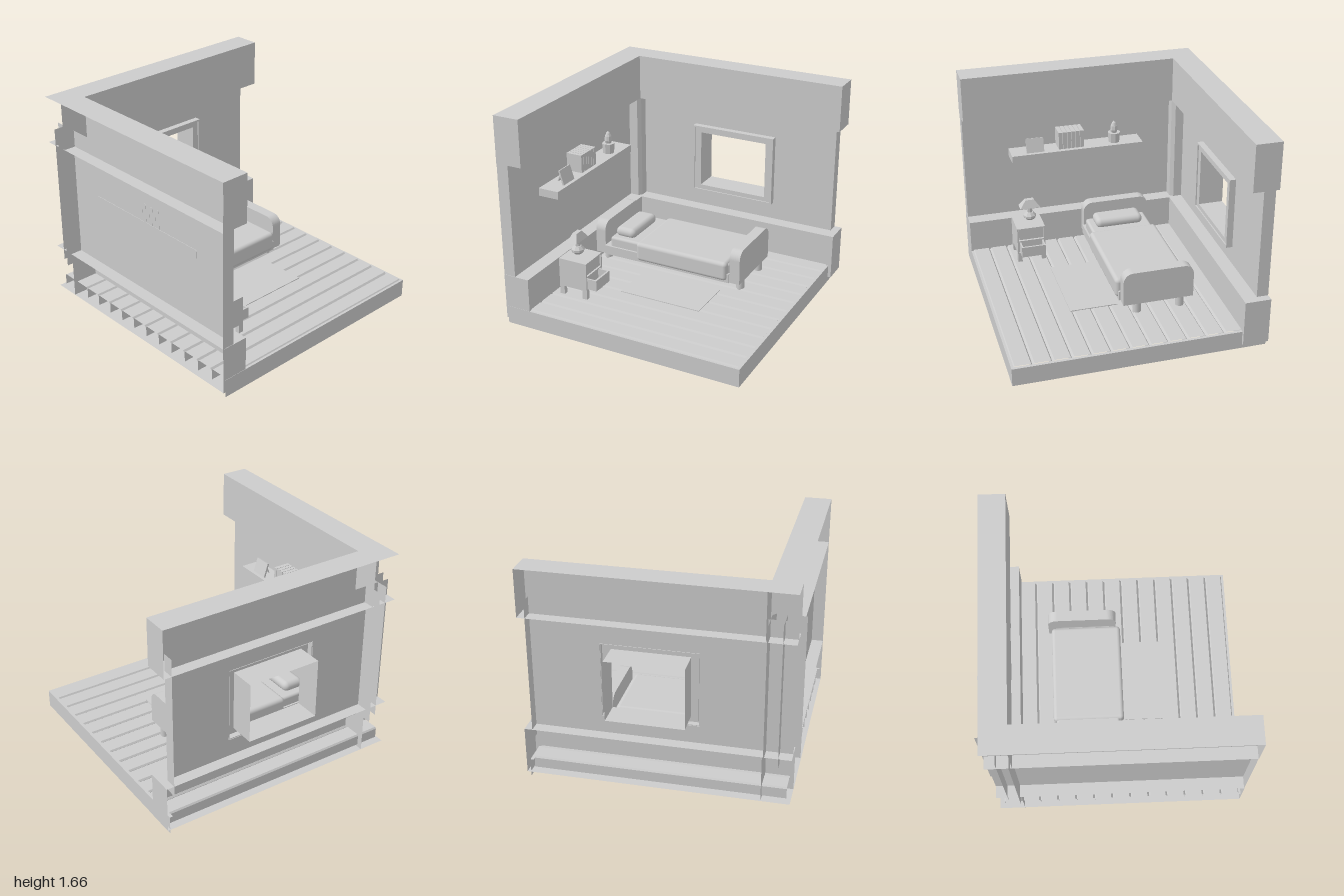
import * as THREE from 'three';
import { RoundedBoxGeometry } from 'three/addons/geometries/RoundedBoxGeometry.js';

const solid = new THREE.MeshStandardMaterial({ color: 0xcccccc });
const faceted = new THREE.MeshStandardMaterial({ color: 0xcccccc, flatShading: true });
const sheet = new THREE.MeshStandardMaterial({ color: 0xcccccc, side: THREE.DoubleSide, flatShading: true });

// Box sides in geometry order, used to keep only some faces
const SIDES = ['+x', '-x', '+y', '-y', '+z', '-z'];

function add(parent, name, geometry, material = solid) {
  const mesh = new THREE.Mesh(geometry, material);
  mesh.name = name;
  parent.add(mesh);
  return mesh;
}

// Box given by its ranges; with "keep", an open shell of the listed sides
function box(parent, name, [x0, x1], [y0, y1], [z0, z1], keep) {
  const g = new THREE.BoxGeometry(x1 - x0, y1 - y0, z1 - z0);
  g.translate((x0 + x1) / 2, (y0 + y1) / 2, (z0 + z1) / 2);
  if (keep) {
    const all = Array.from(g.index.array);
    g.setIndex(all.filter((_, i) => keep.includes(SIDES[Math.floor(i / 6)])));
    g.clearGroups();
  }
  return add(parent, name, g, keep ? sheet : solid);
}

function roundedBox(parent, name, [x0, x1], [y0, y1], [z0, z1], r) {
  const g = new RoundedBoxGeometry(x1 - x0, y1 - y0, z1 - z0, 4, r);
  g.translate((x0 + x1) / 2, (y0 + y1) / 2, (z0 + z1) / 2);
  return add(parent, name, g);
}

function rect(Type, x0, x1, y0, y1) {
  return new Type([[x0, y0], [x1, y0], [x1, y1], [x0, y1]].map(p => new THREE.Vector2(...p)));
}

// Open profile of [a, b] points swept straight between two positions
function sweep(profile, place, from, to) {
  const v = [];
  for (let i = 0; i + 1 < profile.length; i++) {
    const [p, q] = [profile[i], profile[i + 1]];
    v.push(...place(p, from), ...place(q, to), ...place(q, from),
      ...place(p, from), ...place(p, to), ...place(q, to));
  }
  const g = new THREE.BufferGeometry();
  g.setAttribute('position', new THREE.Float32BufferAttribute(v, 3));
  g.computeVertexNormals();
  return g;
}

function buildWalls(root) {
  const g = new THREE.Group();
  g.name = 'walls';
  root.add(g);
  // Thick bands above and below, open towards the outside
  for (const [name, y] of [['upperBand', [1.3, 1.665]], ['lowerBand', [0.04, 0.405]]]) {
    box(g, name + 'Left', [-0.96, -0.75], y, [-0.93, 0.998], ['+x', '+y', '-y', '+z']);
    box(g, name + 'Back', [-0.96, 1], y, [-0.93, -0.73], ['+x', '+y', '-y', '+z']);
  }
  // Recessed wall panels
  const mid = [0.32, 1.43];
  box(g, 'leftPanel', [-0.96, -0.865], mid, [-0.93, 0.995], ['+x', '+z']);
  box(g, 'backPanelEnd', [-0.96, 0.94], mid, [-0.93, -0.84], ['+x']);
  const panel = rect(THREE.Shape, -0.96, 0.94, ...mid);
  panel.holes.push(rect(THREE.Path, -0.28, 0.425, 0.55, 1.115));
  add(g, 'backPanel', new THREE.ShapeGeometry(panel), sheet).position.z = -0.84;
  // Bevelled corner post
  const post = [[-1, -0.742], [-0.79, -0.742], [-0.765, -0.77], [-0.765, -0.98]];
  add(g, 'cornerPost', sweep(post, ([x, z], y) => [x, y, z], ...mid), sheet);
}

function buildWindow(root) {
  const g = new THREE.Group();
  g.name = 'window';
  root.add(g);
  const ring = (name, x, y, hx, hy, z, r) => {
    const s = rect(THREE.Shape, ...x, ...y);
    s.holes.push(rect(THREE.Path, ...hx, ...hy));
    add(g, name, new THREE.ShapeGeometry(s), sheet).position.z = z;
    box(g, name + 'Edge', x, y, [r, z], ['+x', '-x', '+y', '-y']);
  };
  ring('windowFrame', [-0.285, 0.43], [0.545, 1.12], [-0.27, 0.415], [0.56, 1.105], -0.79, -0.845);
  ring('innerFrame', [-0.27, 0.415], [0.56, 1.105], [-0.215, 0.363], [0.597, 1.065], -0.8, -0.8 + 0.01);
  // Deep reveal reaching outside
  box(g, 'windowReveal', [-0.215, 0.363], [0.597, 1.065], [-1, -0.8], ['+x', '-x', '+y', '-y']);
}

function buildFloor(root) {
  const g = new THREE.Group();
  g.name = 'floor';
  root.add(g);
  box(g, 'floorSkirt', [-0.945, 0.975], [0, 0.142], [-0.92, 1], ['+x', '+z']);
  box(g, 'floorRimRight', [0.95, 0.975], [0.1, 0.142], [-0.92, 1], ['+y']);
  box(g, 'floorRimFront', [-0.945, 0.975], [0.1, 0.142], [0.975, 1], ['+y']);
  // Open planks with bevelled edges
  const pitch = 0.1443, bevel = 0.016;
  for (let i = 0; i < 13; i++) {
    const z1 = 0.99 - i * pitch, z0 = Math.max(z1 - pitch, -0.9);
    const profile = [[z0, 0.06], [z0, 0.138], [z0 + bevel * 0.6, 0.15],
      [z1 - bevel, 0.15], [z1, 0.132], [z1, 0.06]];
    add(g, 'plank', sweep(profile, ([z, y], x) => [x, y, z], 0.955, -0.93), sheet);
  }
  box(g, 'rug', [-0.29, 0.38], [0.148, 0.156], [0.06, 0.43]);
}

function buildBed(root) {
  const g = new THREE.Group();
  g.name = 'bed';
  root.add(g);
  // Head and foot boards with rounded top corners
  const [z0, z1, y0, y1, r] = [-0.495, 0.057, 0.235, 0.505, 0.075];
  const s = new THREE.Shape();
  s.moveTo(z0, y0);
  s.lineTo(z1, y0);
  s.lineTo(z1, y1 - r);
  s.absarc(z1 - r, y1 - r, r, 0, Math.PI / 2);
  s.absarc(z0 + r, y1 - r, r, Math.PI / 2, Math.PI);
  for (const [name, x] of [['headboard', -0.645], ['footboard', 0.54]]) {
    const board = new THREE.ExtrudeGeometry(s, { depth: 0.085, bevelEnabled: false, curveSegments: 8 });
    add(g, name, board.rotateY(-Math.PI / 2).translate(x, 0, 0));
    for (const z of [-0.4, -0.06]) {
      add(g, 'bedLeg', new THREE.CylinderGeometry(0.032, 0.032, 0.1, 16)).position.set(x - 0.042, 0.19, z);
    }
  }
  box(g, 'bedRail', [-0.645, 0.455], [0.235, 0.31], [-0.46, 0.07]);
  roundedBox(g, 'mattress', [-0.6, 0.45], [0.28, 0.39], [-0.445, 0.055], 0.02);
  roundedBox(g, 'blanket', [-0.35, 0.44], [0.25, 0.405], [-0.47, 0.09], 0.03);
  roundedBox(g, 'pillow', [-0.585, -0.41], [0.375, 0.458], [-0.385, 0.005], 0.04);
}

function buildNightstand(root) {
  const g = new THREE.Group();
  g.name = 'nightstand';
  root.add(g);
  const [x0, x1, z0, z1] = [-0.695, -0.455, 0.43, 0.66];
  box(g, 'cabinet', [x0, x1 - 0.02], [0.22, 0.45], [z0, z1]);
  // Front rails around the two drawers
  for (const y of [0.22, 0.33, 0.44]) box(g, 'rail', [x1 - 0.02, x1], [y, y + 0.01], [z0, z1]);
  for (const z of [z0, z1 - 0.012]) box(g, 'stile', [x1 - 0.02, x1], [0.22, 0.45], [z, z + 0.012]);
  box(g, 'upperDrawer', [x1 - 0.02, x1 - 0.01], [0.345, 0.435], [z0 + 0.016, z1 - 0.016]);
  // Lower drawer pulled out, open on top
  const [a, b, w] = [0.445, 0.64, 0.012];
  box(g, 'drawerFloor', [x1 - 0.02, -0.38], [0.23, 0.24], [a, b]);
  box(g, 'drawerFront', [-0.395, -0.38], [0.23, 0.318], [a, b]);
  for (const z of [a, b - w]) box(g, 'drawerSide', [x1 - 0.02, -0.38], [0.23, 0.318], [z, z + w]);
  // Legs
  for (const x of [x0, x1 - 0.04]) {
    for (const z of [z0, z1 - 0.035]) box(g, 'nightstandLeg', [x, x + 0.04], [0.148, 0.22], [z, z + 0.035]);
  }

  // Lamp with a faceted body and a four-sided shade
  const lamp = new THREE.Group();
  lamp.name = 'lamp';
  lamp.position.set(-0.61, 0, 0.522);
  g.add(lamp);
  const body = [[0, 0.448], [0.03, 0.452], [0.052, 0.475], [0.052, 0.492], [0.03, 0.517], [0, 0.522]];
  add(lamp, 'lampBody', new THREE.LatheGeometry(body.map(p => new THREE.Vector2(...p)), 8), faceted);
  add(lamp, 'lampNeck', new THREE.CylinderGeometry(0.022, 0.022, 0.07, 8), faceted).position.y = 0.545;
  const shade = new THREE.CylinderGeometry(0.035 * Math.SQRT2, 0.083 * Math.SQRT2, 0.064, 4, 1);
  shade.rotateY(Math.PI / 4).scale(0.53, 1, 1);
  add(lamp, 'lampShade', shade, faceted).position.y = 0.6;
}

function buildShelf(root) {
  const g = new THREE.Group();
  g.name = 'shelf';
  root.add(g);
  box(g, 'shelfBoard', [-0.868, -0.695], [0.923, 0.985], [-0.465, 0.63]);
  // Row of books
  const n = 6, w = 0.215 / n;
  for (let i = 0; i < n; i++) {
    const z = 0.025 + i * w;
    box(g, 'book', [-0.866, -0.732], [0.985, 1.13], [z, z + w - 0.004]);
  }
  // Leaning picture with a back stand
  const picture = box(g, 'picture', [-0.007, 0.007], [0, 0.118], [-0.072, 0.072]);
  picture.position.set(-0.728, 0.985, 0.432);
  picture.rotation.z = 0.3;
  const stand = box(g, 'pictureStand', [-0.004, 0.004], [0, 0.115], [-0.02, 0.02]);
  stand.position.set(-0.81, 0.985, 0.432);
  stand.rotation.z = -0.4;
  // Potted plant
  add(g, 'pot', new THREE.CylinderGeometry(0.052, 0.046, 0.082, 8), faceted).position.set(-0.775, 1.026, -0.24);
  const leaf = [[0, 1.05], [0.022, 1.06], [0.032, 1.09], [0.028, 1.125], [0.016, 1.152], [0, 1.167]];
  add(g, 'plant', new THREE.LatheGeometry(leaf.map(p => new THREE.Vector2(...p)), 8), faceted)
    .position.set(-0.775, 0, -0.24);
}

export function createModel() {
  const root = new THREE.Group();
  root.name = 'bedroom';
  [buildFloor, buildWalls, buildWindow, buildBed, buildNightstand, buildShelf].forEach(build => build(root));
  return root;
}
